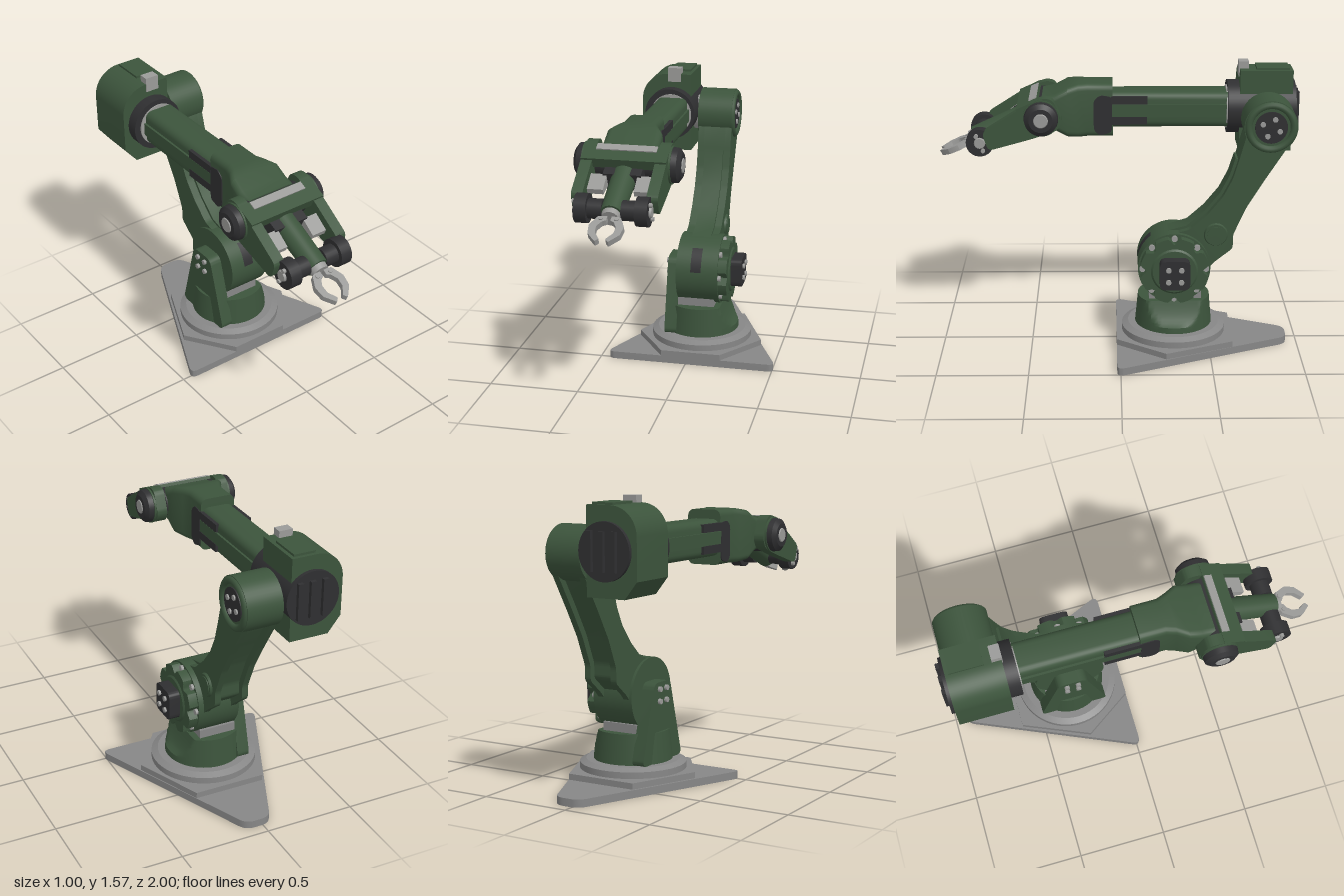
import * as THREE from 'three';
import { toCreasedNormals } from 'three/addons/utils/BufferGeometryUtils.js';

const paint = (name, color) => Object.assign(new THREE.MeshStandardMaterial({ color }), { name });

export function createModel() {
  const green = paint('green paint', 0x3c543c);
  const black = paint('black plastic', 0x2f2f31);
  const grey = paint('base grey', 0x868686);
  const steel = paint('steel', 0x9a9a98);
  const model = new THREE.Group();
  model.name = 'robotArm';
  let parent = model;

  const add = (name, geo, mat) => {
    const m = new THREE.Mesh(geo, mat);
    m.name = name;
    parent.add(m);
    return m;
  };
  // polygon with rounded corners
  const poly = (pts, r = 0) => {
    const s = new THREE.Shape();
    const v = pts.map(p => new THREE.Vector2(...p)), n = v.length;
    v.forEach((p, i) => {
      const step = q => p.clone().add(q.clone().sub(p).setLength(Math.min(r, q.distanceTo(p) * 0.45)));
      const a = step(v[(i + n - 1) % n]), b = step(v[(i + 1) % n]);
      if (i) s.lineTo(a.x, a.y); else s.moveTo(a.x, a.y);
      if (r) s.quadraticCurveTo(p.x, p.y, b.x, b.y);
    });
    s.closePath();
    return s;
  };
  const extrude = (shape, depth) => toCreasedNormals(
    new THREE.ExtrudeGeometry(shape, { depth, bevelEnabled: false, curveSegments: 8 }), 0.6);
  // profile of [z, y] points, extruded along x
  const side = (name, pts, r, x0, x1, mat) => add(name,
    extrude(poly(pts, r), x1 - x0).rotateY(-Math.PI / 2).translate(x1, 0, 0), mat);
  // profile of [x, z] points, extruded along y
  const plan = (name, pts, r, y0, y1, mat) => add(name,
    extrude(poly(pts.map(([x, z]) => [x, -z]), r), y1 - y0).rotateX(-Math.PI / 2).translate(0, y0, 0), mat);
  const box = (name, x0, x1, y0, y1, z0, z1, mat) => add(name,
    new THREE.BoxGeometry(x1 - x0, y1 - y0, z1 - z0).translate((x0 + x1) / 2, (y0 + y1) / 2, (z0 + z1) / 2), mat);
  const cylX = (name, r0, r1, x0, x1, y, z, mat, n = 40) => add(name,
    new THREE.CylinderGeometry(r1, r0, x1 - x0, n).rotateZ(-Math.PI / 2).translate((x0 + x1) / 2, y, z), mat);
  const cylZ = (name, r0, r1, z0, z1, x, y, mat, n = 40) => add(name,
    new THREE.CylinderGeometry(r1, r0, z1 - z0, n).rotateX(Math.PI / 2).translate(x, y, (z0 + z1) / 2), mat);
  const boltsX = (name, x0, x1, y, z, d, r) => {
    for (const a of [-d, d]) for (const b of [-d, d]) cylX(name, r, r, x0, x1, y + a, z + b, steel, 10);
  };
  // rounded-rectangle sections [z, halfWidth, halfHeight] joined along z
  const loft = (name, sections, x, y, r, mat) => {
    const pos = [], idx = [], n = 24;
    for (const [z, w, h] of sections) for (let i = 0; i < n; i++) {
      const q = Math.floor(i / 6), a = (q + (i % 6) / 5) * Math.PI / 2;
      const sx = q === 0 || q === 3 ? 1 : -1, sy = q < 2 ? 1 : -1;
      pos.push(x + sx * (w - r) + r * Math.cos(a), y + sy * (h - r) + r * Math.sin(a), z);
    }
    const last = sections.length - 1;
    for (let k = 0; k < last; k++) for (let i = 0; i < n; i++) {
      const a = k * n + i, b = k * n + (i + 1) % n;
      idx.push(a, b, b + n, a, b + n, a + n);
    }
    for (let i = 1; i < n - 1; i++) idx.push(0, i + 1, i, last * n, last * n + i, last * n + i + 1);
    const g = new THREE.BufferGeometry();
    g.setAttribute('position', new THREE.Float32BufferAttribute(pos, 3));
    g.setIndex(idx);
    return add(name, toCreasedNormals(g, 0.6), mat);
  };

  // Base: triangular plate, clipped triangle, turntable
  plan('basePlate', [[-0.46, 0.02], [0.52, 0.02], [0.1, -0.94], [-0.04, -0.94]], 0.05, 0, 0.042, grey);
  plan('baseStep', [[-0.14, 0.02], [0.2, 0.02], [0.395, -0.25], [0.235, -0.625], [-0.165, -0.625], [-0.325, -0.25]], 0, 0.042, 0.075, grey);
  add('turntable', new THREE.LatheGeometry([[0, 0.075], [0.29, 0.075], [0.29, 0.11], [0.255, 0.127], [0, 0.127]]
    .map(p => new THREE.Vector2(...p)), 56).translate(0.035, 0, -0.3).toNonIndexed(), grey);
  parent.children.at(-1).geometry = toCreasedNormals(parent.children.at(-1).geometry, 0.3);

  // Pedestal, scooped on the motor side
  const ped = new THREE.CylinderGeometry(0.2, 0.215, 0.165, 56, 10);
  const pp = ped.attributes.position;
  for (let i = 0; i < pp.count; i++) {
    const t = Math.max(0, (pp.getY(i) + 0.05) / 0.1325);
    pp.setX(i, Math.min(pp.getX(i), 0.215 - 0.085 * Math.sqrt(t)));
  }
  add('pedestal', toCreasedNormals(ped.translate(0.035, 0.2095, -0.3), 0.6), green);
  box('pedestalNeck', -0.08, 0.13, 0.28, 0.34, -0.45, -0.16, grey);
  side('shoulderBracket', [[-0.1, 0.127], [-0.22, 0.56], [-0.38, 0.56], [-0.5, 0.127]], 0.04, -0.15, -0.08, green);
  boltsX('bracketBolt', -0.165, -0.15, 0.49, -0.3, 0.033, 0.015);

  // Shoulder drum, scalloped cover and motor
  const SY = 0.485, SZ = -0.297;
  cylX('shoulderDrum', 0.2, 0.2, -0.08, 0.16, SY, SZ, green, 56);
  const scallop = [];
  for (let i = 0; i < 96; i++) {
    const a = i / 96 * Math.PI * 2, r = 0.19 - 0.035 * Math.max(0, Math.cos(a * 8) - 0.25) / 0.75;
    scallop.push([SZ + r * Math.cos(a), SY + r * Math.sin(a)]);
  }
  side('shoulderCover', scallop, 0, 0.16, 0.21, green);
  for (let i = 0; i < 8; i++) {
    const a = i * Math.PI / 4;
    cylX('coverBolt', 0.017, 0.017, 0.16, 0.175, SY + 0.176 * Math.sin(a), SZ + 0.176 * Math.cos(a), steel, 10);
  }
  cylX('coverRing', 0.13, 0.12, 0.21, 0.218, SY, SZ, green);
  const m = 0.083;
  side('shoulderMotor', [[SZ - m, SY - m], [SZ + m, SY - m], [SZ + m, SY + m], [SZ - m, SY + m]], 0.035, 0.21, 0.28, black);
  boltsX('motorBolt', 0.28, 0.292, SY, SZ, 0.035, 0.015);
  add('drumSlot', new THREE.CylinderGeometry(0.203, 0.203, 0.06, 12, 1, true, -0.89, 0.72)
    .rotateZ(-Math.PI / 2).translate(0.035, SY, SZ), black);

  // Upper arm: two flanges around a narrower core
  const front = [[-0.27, 0.67], [-0.38, 0.70], [-0.48, 0.79], [-0.56, 0.89], [-0.61, 0.99], [-0.64, 1.09], [-0.68, 1.24]];
  const back = [[-0.92, 1.2], [-0.78, 0.98], [-0.69, 0.83], [-0.62, 0.67], [-0.62, 0.59], [-0.52, 0.51], [-0.44, 0.42], [-0.3, 0.4]];
  for (const x of [-0.065, 0.095]) side('armFlange', [...front, ...back], 0.02, x, x + 0.035, green);
  side('armCore', [...front, ...back.map(([z, y]) => [z + 0.035, y + 0.012])], 0.02, -0.03, 0.095, green);
  const strip = front.slice(0, 6);
  side('armCover', [...strip.map(([z, y]) => [z + 0.014, y + 0.01]), ...strip.map(([z, y]) => [z - 0.02, y - 0.01]).reverse()],
    0, -0.02, 0.09, green);
  cylX('armBoss', 0.066, 0.06, 0.13, 0.142, 0.672, -0.525, green);
  cylX('armBossCap', 0.048, 0.048, 0.142, 0.146, 0.672, -0.525, green);

  // Elbow drum
  const EY = 1.282, EZ = -0.81;
  cylX('elbowDrum', 0.145, 0.145, -0.07, 0.13, EY, EZ, green, 48);
  add('elbowRim', new THREE.TorusGeometry(0.122, 0.02, 10, 48).rotateY(Math.PI / 2).translate(0.127, EY, EZ), green);
  cylX('elbowCap', 0.088, 0.088, 0.13, 0.138, EY, EZ, black);
  for (let i = 0; i < 4; i++) {
    const a = 0.4 + i * Math.PI / 2;
    cylX('elbowBolt', 0.015, 0.015, 0.138, 0.146, EY + 0.05 * Math.sin(a), EZ + 0.05 * Math.cos(a), steel, 10);
  }
  cylX('elbowShaft', 0.1, 0.1, -0.13, -0.07, EY, EZ, steel);

  // Elbow housing with black barrel through it
  const hs = new THREE.Shape();
  hs.moveTo(-0.11, 1.08);
  hs.lineTo(-0.11, 1.535);
  hs.lineTo(-0.25, 1.535);
  hs.absarc(-0.25, 1.385, 0.15, Math.PI / 2, Math.PI, false);
  hs.lineTo(-0.4, 1.17);
  hs.lineTo(-0.33, 1.08);
  add('elbowHousing', extrude(hs, 0.29).translate(0, 0, -0.95), green);
  box('housingLid', -0.25, -0.13, 1.535, 1.547, -0.93, -0.75, green);
  box('housingTab', -0.247, -0.17, 1.49, 1.572, -0.71, -0.655, steel);
  const FX = -0.215, FY = 1.31;
  cylZ('barrel', 0.148, 0.148, -0.97, -0.595, FX - 0.008, FY, black, 48);
  cylZ('barrelFlange', 0.12, 0.12, -0.6, -0.588, FX, FY, steel);
  for (const x of [-0.07, 0, 0.07]) box('barrelRib', FX + x - 0.015, FX + x + 0.015, FY - 0.1, FY + 0.1, -0.99, -0.965, black);
  box('forearmCollar', -0.318, -0.104, 1.28, 1.36, -0.64, -0.6, steel);

  // Forearm tube with rails and strips
  loft('forearm', [[-0.62, 0.092, 0.1], [0.06, 0.092, 0.1]], -0.21, FY, 0.04, green);
  for (const s of [-1, 1]) {
    const x = -0.21 + s * 0.096;
    box('forearmRail', x - 0.008, x + 0.008, FY - 0.035, FY + 0.035, -0.59, 0.05, green);
    for (const y of [1.255, 1.37]) {
      box('forearmStrip', x - 0.01, x + 0.01, y - 0.022, y + 0.022, -0.15, 0.05, black);
    }
    const p = -0.21 + s * 0.101;
    side('wristPatch', [[0.045, 1.19], [0.11, 1.17], [0.145, 1.2], [0.145, 1.37], [0.11, 1.4], [0.045, 1.39]], 0.02, p - 0.004, p + 0.004, black);
  }
  // Wrist block
  loft('wristBlock', [[0.04, 0.1, 0.15], [0.18, 0.1, 0.15], [0.23, 0.118, 0.15], [0.29, 0.15, 0.138], [0.36, 0.152, 0.1], [0.43, 0.152, 0.085]],
    -0.21, FY, 0.035, green);
  cylX('wristAxle', 0.085, 0.085, -0.37, -0.05, 1.305, 0.43, black);

  // Tilting hand, built straight along z and then pitched down
  const hand = new THREE.Group();
  hand.name = 'hand';
  hand.position.set(-0.205, 1.305, 0.43);
  hand.rotation.x = 0.415;
  model.add(hand);
  parent = hand;
  box('forkBridge', -0.225, 0.225, 0.045, 0.1, -0.02, 0.105, green);
  box('forkBridgeTrim', -0.16, 0.16, 0.1, 0.106, -0.015, 0.03, steel);
  box('handCore', -0.1, 0.1, -0.05, 0.05, 0.04, 0.16, black);
  cylZ('handTube', 0.066, 0.06, 0.08, 0.41, 0, 0, green);
  for (const s of [-1, 1]) {
    const X = (name, r0, r1, a, b, z, mat, n) => s > 0
      ? cylX(name, r0, r1, a, b, 0, z, mat, n) : cylX(name, r1, r0, -b, -a, 0, z, mat, n);
    const lo = s > 0 ? 0.165 : -0.225;
    side('forkArm', [[-0.1, 0.07], [-0.05, 0.1], [0.1, 0.09], [0.33, 0.055], [0.34, -0.05], [0.1, -0.085], [-0.05, -0.1], [-0.1, -0.06]],
      0.03, lo, lo + 0.06, green);
    X('wristRing', 0.1, 0.1, 0.22, 0.235, 0, green);
    X('wristCap', 0.094, 0.09, 0.235, 0.265, 0, black);
    X('wristCapEdge', 0.09, 0.065, 0.265, 0.283, 0, black);
    X('wristPin', 0.04, 0.036, 0.283, 0.288, 0, steel, 24);
    const g = s > 0 ? 0.08 : -0.165;
    side('forkGusset', [[0.15, -0.03], [0.25, -0.01], [0.25, 0.02], [0.15, 0.04]], 0, g, g + 0.085, steel);
    X('hub', 0.076, 0.076, 0.125, 0.19, 0.372, black, 24);
    X('hubNeck', 0.052, 0.052, 0.05, 0.125, 0.372, black, 24);
    X('hubPin', 0.032, 0.028, 0.19, 0.202, 0.372, steel, 16);
    for (const y of [-0.045, 0.045]) add('hubBolt', new THREE.CylinderGeometry(0.012, 0.012, 0.016, 10)
      .rotateZ(Math.PI / 2).translate(s * 0.198, y, 0.372), steel);
    // gripper finger
    const f = [[0.012, 0.43], [0.06, 0.445], [0.09, 0.51], [0.082, 0.57], [0.034, 0.625], [0.016, 0.605], [0.047, 0.56], [0.05, 0.515], [0.03, 0.48], [0.01, 0.47]];
    plan('gripperFinger', f.map(([x, z]) => [s * x, z]), 0.006, -0.016, 0.016, steel);
    add('fingerPivot', new THREE.CylinderGeometry(0.012, 0.012, 0.044, 12).translate(s * 0.04, 0, 0.46), steel);
  }
  cylZ('gripperMount', 0.05, 0.045, 0.405, 0.44, 0, 0, steel, 24);
  return model;
}
